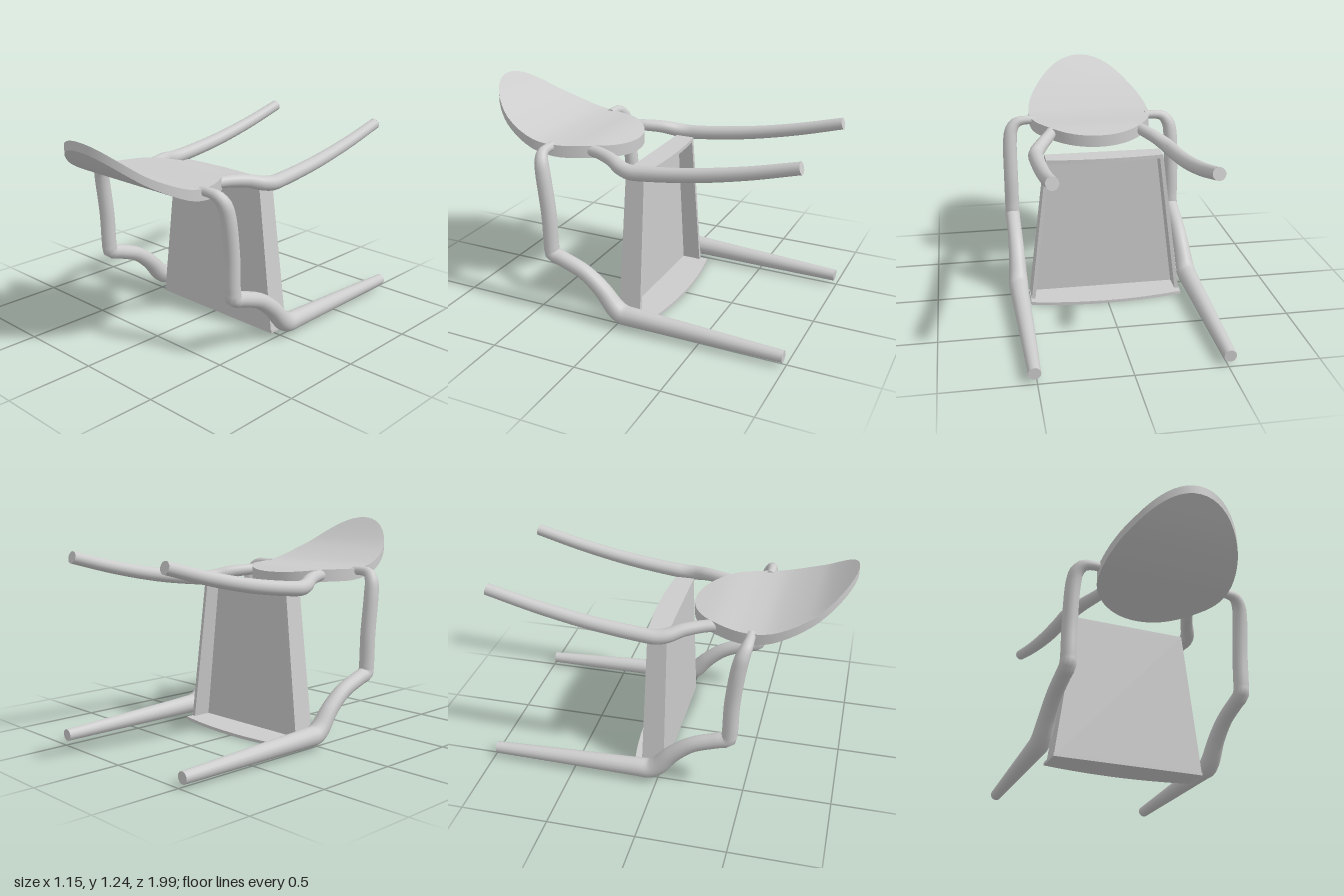
import * as THREE from 'three';
import { toCreasedNormals } from 'three/addons/utils/BufferGeometryUtils.js';

const material = new THREE.MeshStandardMaterial({ color: 0xcccccc, side: THREE.DoubleSide });

function add(group, name, geometry) {
  const mesh = new THREE.Mesh(geometry, material);
  mesh.name = name;
  group.add(mesh);
  return mesh;
}

// Moves every vertex of a geometry by a rule
function reshape(geometry, rule) {
  const p = geometry.attributes.position;
  const v = new THREE.Vector3();
  for (let i = 0; i < p.count; i++) {
    v.fromBufferAttribute(p, i);
    rule(v, i);
    p.setXYZ(i, v.x, v.y, v.z);
  }
  geometry.computeVertexNormals();
  return geometry;
}

// Smooth one-variable profile through [position, value] pairs
function profile(points) {
  const f = (z) => {
    let i = 0;
    while (i < points.length - 2 && z > points[i + 1][0]) i++;
    const [a, b] = [points[i], points[i + 1]];
    const slope = (k) => {
      const l = points[Math.max(k - 1, 0)], r = points[Math.min(k + 1, points.length - 1)];
      return (r[1] - l[1]) / (r[0] - l[0]);
    };
    const h = b[0] - a[0], t = THREE.MathUtils.clamp((z - a[0]) / h, 0, 1);
    const t2 = t * t, t3 = t2 * t;
    return (2 * t3 - 3 * t2 + 1) * a[1] + (t3 - 2 * t2 + t) * h * slope(i)
      + (3 * t2 - 2 * t3) * b[1] + (t3 - t2) * h * slope(i + 1);
  };
  return f;
}

// Round bar with flat ends; each point is [x, y, z, radius], mirrored by side
function bar(name, points, side) {
  const group = new THREE.Group();
  group.name = name;
  const sides = 14, segments = 90;
  const curve = new THREE.CatmullRomCurve3(
    points.map(([x, y, z]) => new THREE.Vector3(x * side, y, z)), false, 'centripetal');
  const last = points.length - 1;
  const radiusAt = (u) => {
    const t = curve.getUtoTmapping(u) * last;
    const i = Math.min(Math.floor(t), last - 1);
    return THREE.MathUtils.lerp(points[i][3], points[i + 1][3], t - i);
  };
  const tube = new THREE.TubeGeometry(curve, segments, 1, sides);
  const normals = tube.attributes.normal.clone();
  reshape(tube, (v, i) => {
    const u = Math.floor(i / (sides + 1)) / segments;
    const centre = curve.getPointAt(u);
    v.sub(centre).multiplyScalar(radiusAt(u)).add(centre);
  });
  tube.setAttribute('normal', normals);
  add(group, name + 'Shaft', tube);
  for (const u of [0, 1]) {
    const cap = add(group, name + 'End', new THREE.CircleGeometry(radiusAt(u), sides));
    const end = curve.getPointAt(u);
    cap.position.copy(end);
    cap.lookAt(end.clone().addScaledVector(curve.getTangentAt(u), u ? 1 : -1));
  }
  return group;
}

// Flat cross rail with a bowed rear edge; top face at y
function rail(y, thickness, halfWidth, zEdge, zMiddle) {
  const s = new THREE.Shape();
  s.moveTo(-halfWidth, 0.02);
  s.lineTo(halfWidth, 0.02);
  s.lineTo(halfWidth, zEdge);
  s.quadraticCurveTo(0, 2 * zMiddle - zEdge, -halfWidth, zEdge);
  s.closePath();
  const g = new THREE.ExtrudeGeometry(s, { depth: thickness, bevelEnabled: false, curveSegments: 20 });
  return g.rotateX(Math.PI / 2).translate(0, y, 0);
}

export function createModel() {
  const model = new THREE.Group();
  model.name = 'chair';

  // Tapered seat: a panel framed by side and cross rails, open behind
  const height = 0.875;
  const seat = new THREE.Group();
  seat.name = 'seat';
  model.add(seat);
  const halfWidth = (y) => THREE.MathUtils.lerp(0.45, 0.34, y / height);
  add(seat, 'seatPanel', reshape(new THREE.BoxGeometry(2, height, 0.02), (v) => {
    v.y += height / 2;
    v.x *= halfWidth(v.y);
    v.z += 0.01;
  }));
  for (const side of [-1, 1]) {
    add(seat, 'sideRail', reshape(new THREE.BoxGeometry(0.022, height, 1), (v) => {
      v.y += height / 2;
      v.x += side * (halfWidth(v.y) - 0.011);
      v.z = v.z > 0 ? 0.019 : THREE.MathUtils.lerp(-0.112, -0.09, v.y / height);
    }));
  }
  add(seat, 'frontRail', rail(0.018, 0.018, 0.452, -0.155, -0.203));
  add(seat, 'rearRail', rail(height, 0.022, 0.34, -0.09, -0.112));

  // Oval backrest, curved along its length
  const top = profile([[0.11, 0.945], [0.27, 0.964], [0.45, 0.965], [0.6, 0.985], [0.8, 1.07], [0.9, 1.145], [1, 1.24]]);
  const bottom = profile([[0.11, 0.875], [0.27, 0.892], [0.45, 0.896], [0.6, 0.926], [0.8, 1.022], [0.9, 1.096], [1, 1.19]]);
  const outline = [];
  const rings = 12;
  for (let i = 0; i <= rings; i++) outline.push(new THREE.Vector2(i / rings, 0));
  for (let i = rings; i >= 0; i--) outline.push(new THREE.Vector2(i / rings, 1));
  const back = reshape(new THREE.LatheGeometry(outline, 64), (v) => {
    v.x *= 0.38;
    v.z = 0.555 + v.z * 0.445;
    v.y = v.y > 0.5 ? top(v.z) : bottom(v.z);
  });
  add(model, 'backrest', toCreasedNormals(back, 0.7));

  // Each front leg bends into an armrest that meets the backrest
  const frontLeg = [
    [0.35, 0.95, 0.485, 0.026], [0.42, 0.95, 0.485, 0.027], [0.465, 0.94, 0.48, 0.033],
    [0.498, 0.9, 0.465, 0.04], [0.51, 0.83, 0.45, 0.043], [0.513, 0.6, 0.422, 0.044],
    [0.513, 0.41, 0.415, 0.044], [0.513, 0.365, 0.408, 0.046], [0.513, 0.34, 0.34, 0.044],
    [0.513, 0.285, 0.2, 0.045], [0.514, 0.2, 0.09, 0.049], [0.517, 0.105, 0.005, 0.056],
    [0.518, 0.077, -0.04, 0.058], [0.518, 0.073, -0.12, 0.055],
    [0.515, 0.064, -0.5, 0.046], [0.512, 0.053, -0.985, 0.034],
  ];
  // Each rear leg curves inward to carry the backrest
  const rearLeg = [
    [0.265, 0.93, 0.29, 0.033], [0.29, 0.928, 0.21, 0.035], [0.335, 0.918, 0.11, 0.038],
    [0.378, 0.897, 0.03, 0.042], [0.394, 0.889, -0.03, 0.043], [0.396, 0.895, -0.12, 0.042],
    [0.398, 0.932, -0.4, 0.04], [0.4, 0.993, -0.7, 0.037], [0.402, 1.068, -0.985, 0.034],
  ];
  for (const side of [-1, 1]) {
    model.add(bar('frontLegAndArm', frontLeg, side));
    model.add(bar('rearLeg', rearLeg, side));
  }
  return model;
}
